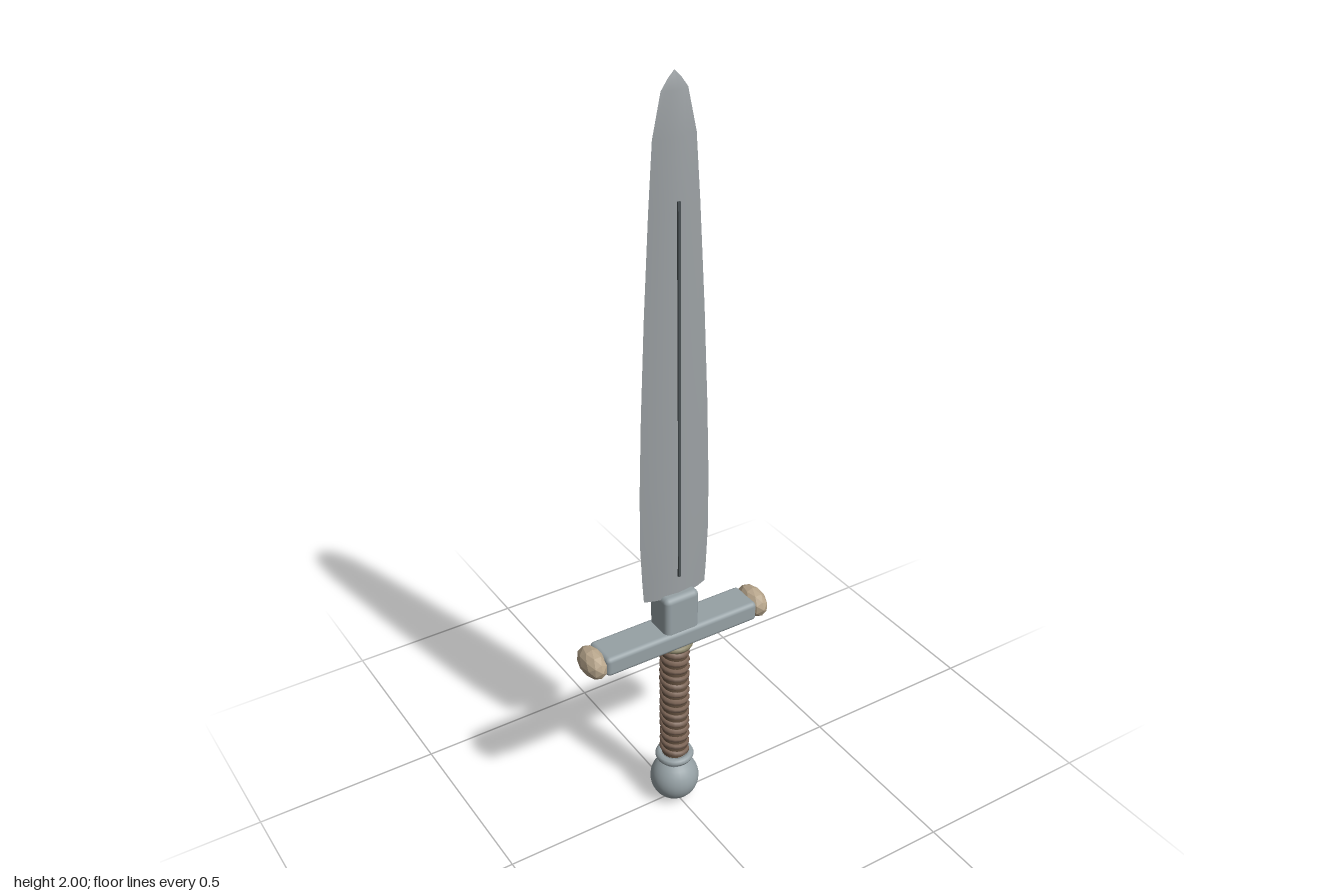
import * as THREE from 'three';
import { RoundedBoxGeometry } from 'three/addons/geometries/RoundedBoxGeometry.js';
import { toCreasedNormals } from 'three/addons/utils/BufferGeometryUtils.js';

const material = (name, color, extra = {}) => {
  const m = new THREE.MeshStandardMaterial({ color, ...extra });
  m.name = name;
  return m;
};

// Loft a lens-shaped section along the blade: rows of [y, half width, half thickness]
function bladeGeometry(rows) {
  const section = [[1, 0], [0.72, 0.45], [0.35, 0.85], [0, 1], [-0.35, 0.85], [-0.72, 0.45],
    [-1, 0], [-0.72, -0.45], [-0.35, -0.85], [0, -1], [0.35, -0.85], [0.72, -0.45]];
  const n = section.length, pos = [], idx = [];
  for (const [y, w, t] of rows) for (const [x, z] of section) pos.push(x * w, y, z * t);
  for (let r = 0; r < rows.length - 1; r++) {
    for (let i = 0; i < n; i++) {
      const a = r * n + i, b = r * n + (i + 1) % n;
      idx.push(a, a + n, b, b, a + n, b + n);
    }
  }
  const top = (rows.length - 1) * n;
  for (let i = 1; i < n - 1; i++) {
    idx.push(0, i, i + 1);
    idx.push(top, top + i + 1, top + i);
  }
  const g = new THREE.BufferGeometry();
  g.setAttribute('position', new THREE.Float32BufferAttribute(pos, 3));
  g.setIndex(idx);
  return toCreasedNormals(g, 0.35);
}

export function createModel() {
  const group = new THREE.Group();
  const bladeSteel = material('blade steel', 0x9ca1a4);
  const fittingSteel = material('fitting steel', 0x96a1a5);
  const darkSteel = material('dark groove', 0x4a5154);
  const bronze = material('pale bronze', 0xb8a68c, { flatShading: true });
  const leather = material('leather wrap', 0x7d6657);
  const darkLeather = material('dark leather', 0x63503f);
  const brass = material('dull brass', 0x8a8468);

  const add = (name, geometry, mat, x = 0, y = 0, z = 0) => {
    const mesh = new THREE.Mesh(geometry, mat);
    mesh.name = name;
    mesh.position.set(x, y, z);
    group.add(mesh);
    return mesh;
  };

  // Blade and the dark line on its front
  add('blade', bladeGeometry([
    [0.68, 0.09, 0.021], [0.74, 0.094, 0.021], [0.85, 0.099, 0.021], [1.0, 0.098, 0.021],
    [1.2, 0.092, 0.02], [1.45, 0.081, 0.018], [1.7, 0.067, 0.016], [1.86, 0.056, 0.014],
    [1.96, 0.034, 0.01], [1.985, 0.016, 0.006], [2.0, 0.001, 0.001],
  ]), bladeSteel);
  const groove = add('bladeGroove', new THREE.BoxGeometry(0.007, 0.98, 0.009), darkSteel, 0, 1.23, 0.0185);
  groove.rotation.x = -0.005;

  // Crossguard with faceted end caps
  add('bladeCollar', new RoundedBoxGeometry(0.1, 0.12, 0.084, 3, 0.015), fittingSteel, 0, 0.63);
  add('crossguard', new RoundedBoxGeometry(0.45, 0.055, 0.094, 3, 0.012), fittingSteel, 0, 0.557);
  for (const side of [-1, 1]) {
    const cap = add(side > 0 ? 'leftGuardCap' : 'rightGuardCap',
      new THREE.IcosahedronGeometry(1, 1), bronze, side * 0.242, 0.557);
    cap.scale.set(0.032, 0.039, 0.055);
  }

  // Grip core with a spiral wrap
  add('gripCore', new THREE.CylinderGeometry(0.034, 0.034, 0.39, 20), darkLeather, 0, 0.335);
  const turns = 14, points = [];
  for (let i = 0; i <= turns * 14; i++) {
    const a = i / 14 * Math.PI * 2;
    points.push(new THREE.Vector3(Math.cos(a) * 0.031, 0.16 + 0.355 * i / (turns * 14), Math.sin(a) * 0.031));
  }
  add('gripWrap', new THREE.TubeGeometry(new THREE.CatmullRomCurve3(points), turns * 18, 0.0095, 6), leather);

  // Rings at both ends of the grip
  const ring = (r, tube) => new THREE.TorusGeometry(r, tube, 8, 28).rotateX(Math.PI / 2);
  add('upperRing', ring(0.04, 0.009), brass, 0, 0.523);
  add('lowerRing', ring(0.041, 0.011), fittingSteel, 0, 0.145);

  // Pommel
  add('pommelNeck', new THREE.CylinderGeometry(0.035, 0.035, 0.04, 20), fittingSteel, 0, 0.134);
  add('pommel', new THREE.SphereGeometry(0.066, 24, 16), fittingSteel, 0, 0.066);
  return group;
}
